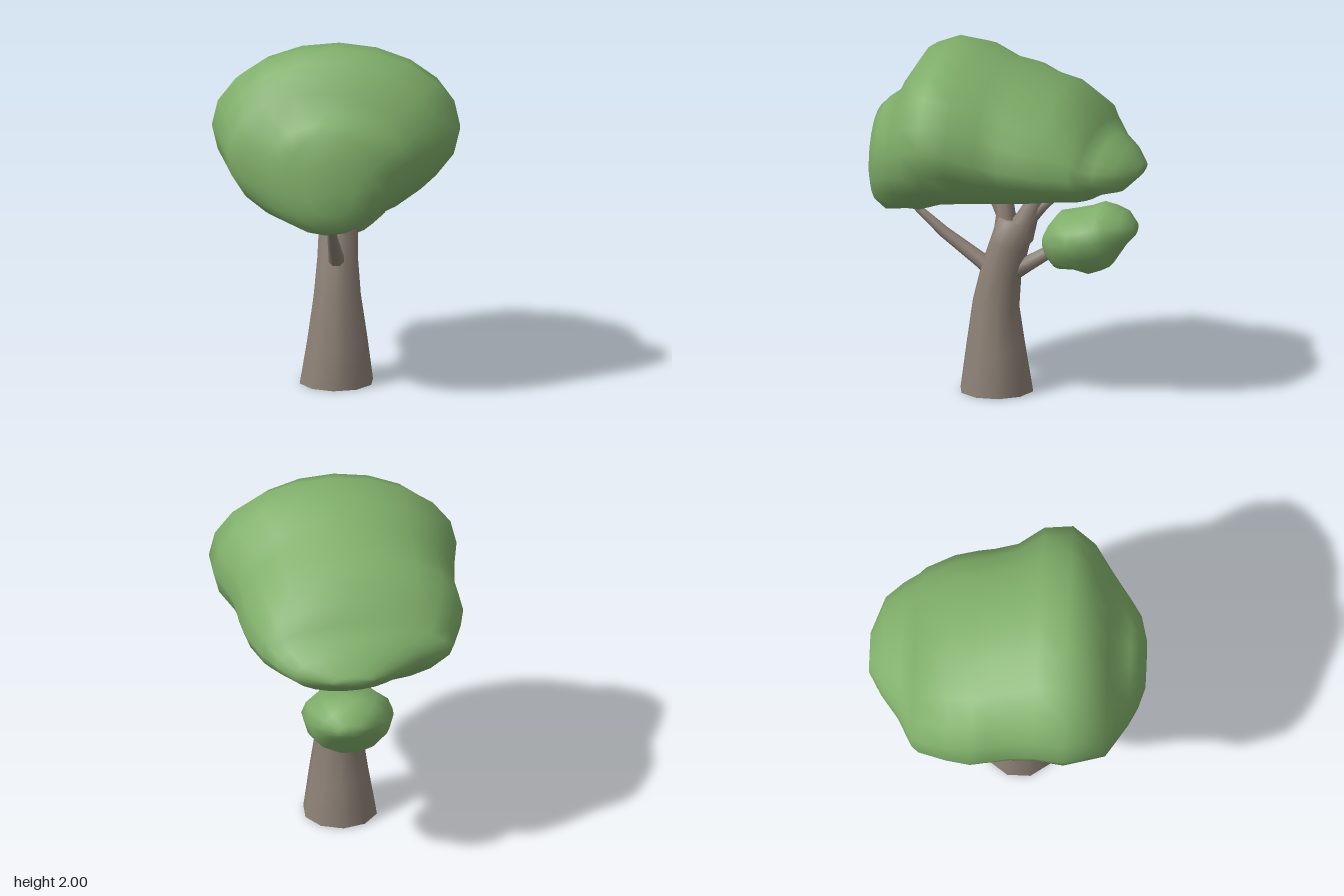
import * as THREE from 'three';

// Skins a list of rings (arrays of Vector3, anticlockwise about the direction of travel)
function skin(rings, capStart, capEnd) {
  const n = rings[0].length, verts = rings.flat(), index = [];
  for (let i = 0; i < rings.length - 1; i++) {
    for (let j = 0; j < n; j++) {
      const k = (j + 1) % n;
      const a = i * n + j, b = i * n + k, c = b + n, d = a + n;
      index.push(a, b, c, a, c, d);
    }
  }
  const cap = (i, flip) => {
    const centre = new THREE.Vector3();
    rings[i].forEach(p => centre.addScaledVector(p, 1 / n));
    const m = verts.push(centre) - 1;
    for (let j = 0; j < n; j++) {
      const a = i * n + j, b = i * n + (j + 1) % n;
      index.push(m, flip ? b : a, flip ? a : b);
    }
  };
  if (capStart) cap(0, true);
  if (capEnd) cap(rings.length - 1, false);
  const geo = new THREE.BufferGeometry().setFromPoints(verts);
  geo.setIndex(index);
  geo.computeVertexNormals();
  return geo;
}

// Leaf mass from upright sections: [z, left x, right x, bottom y, widest y, top y]
function foliage(sections, sides) {
  const rings = sections.map(([z, x0, x1, yb, ym, yt]) => {
    const ring = [];
    for (let j = 0; j < sides; j++) {
      const a = j / sides * Math.PI * 2, s = Math.sin(a);
      ring.push(new THREE.Vector3(
        (x0 + x1) / 2 + (x1 - x0) / 2 * Math.cos(a),
        ym + s * (s > 0 ? yt - ym : ym - yb), z));
    }
    return ring;
  });
  return skin(rings, true, true);
}

// Tapering limb along points [x, y, z, radius]
function limb(points, sides, capEnd = true) {
  const pos = points.map(p => new THREE.Vector3(p[0], p[1], p[2]));
  const side = new THREE.Vector3(1, 0, 0);
  const rings = pos.map((p, i) => {
    const t = pos[Math.min(i + 1, pos.length - 1)].clone().sub(pos[Math.max(i - 1, 0)]);
    const up = t.cross(side).normalize();
    const ring = [];
    for (let j = 0; j < sides; j++) {
      const a = (j + 0.5) / sides * Math.PI * 2, r = points[i][3];
      ring.push(p.clone().addScaledVector(side, r * Math.cos(a)).addScaledVector(up, r * Math.sin(a)));
    }
    return ring;
  });
  return skin(rings, false, capEnd);
}

export function createModel() {
  const tree = new THREE.Group();
  tree.name = 'tree';
  const leaf = new THREE.MeshStandardMaterial({ color: 0x7fae69 });
  leaf.name = 'leaf green';
  const bark = new THREE.MeshStandardMaterial({ color: 0x8c8075, side: THREE.DoubleSide });
  bark.name = 'bark brown';
  const add = (name, geo, mat) => {
    const mesh = new THREE.Mesh(geo, mat);
    mesh.name = name;
    tree.add(mesh);
  };

  // Large crown, back to front
  add('crown', foliage([
    [-0.775, -0.13, 0.10, 1.31, 1.34, 1.37],
    [-0.70, -0.27, 0.31, 1.24, 1.35, 1.46],
    [-0.60, -0.41, 0.40, 1.22, 1.36, 1.51],
    [-0.52, -0.57, 0.45, 1.17, 1.37, 1.56],
    [-0.48, -0.61, 0.48, 1.16, 1.38, 1.67],
    [-0.32, -0.66, 0.545, 1.15, 1.40, 1.79],
    [-0.19, -0.685, 0.57, 1.13, 1.42, 1.82],
    [-0.10, -0.67, 0.575, 1.12, 1.43, 1.88],
    [0.03, -0.655, 0.60, 1.11, 1.46, 1.91],
    [0.17, -0.67, 0.68, 1.11, 1.52, 1.985],
    [0.33, -0.695, 0.69, 1.09, 1.54, 2.0],
    [0.46, -0.64, 0.60, 1.04, 1.50, 1.95],
    [0.56, -0.59, 0.47, 1.025, 1.44, 1.80],
    [0.61, -0.50, 0.41, 1.015, 1.41, 1.70],
    [0.68, -0.37, 0.32, 1.01, 1.36, 1.65],
    [0.73, -0.26, 0.25, 1.05, 1.33, 1.60],
    [0.765, -0.13, 0.13, 1.14, 1.27, 1.44],
  ], 20), leaf);

  // Small leaf cluster at the back
  add('lowerLeafCluster', foliage([
    [-0.735, -0.09, 0.07, 0.95, 0.99, 1.03],
    [-0.68, -0.17, 0.15, 0.89, 0.99, 1.09],
    [-0.60, -0.23, 0.20, 0.77, 0.96, 1.12],
    [-0.55, -0.25, 0.22, 0.745, 0.95, 1.13],
    [-0.48, -0.27, 0.235, 0.72, 0.94, 1.10],
    [-0.40, -0.27, 0.24, 0.74, 0.93, 1.08],
    [-0.30, -0.21, 0.18, 0.735, 0.91, 1.06],
    [-0.24, -0.14, 0.11, 0.79, 0.90, 0.98],
    [-0.215, -0.07, 0.05, 0.84, 0.89, 0.93],
  ], 14), leaf);

  // Trunk, leaning back as it rises, open underneath
  add('trunk', limb([
    [-0.02, 0, 0.065, 0.21], [-0.015, 0.25, 0.068, 0.172], [-0.015, 0.50, 0.068, 0.135],
    [-0.015, 0.70, 0.036, 0.117], [-0.015, 0.85, -0.01, 0.112], [-0.015, 0.99, -0.05, 0.107],
  ], 10), bark);

  // Limbs reaching into the leaves
  const limbs = {
    frontFork: [[-0.015, 0.90, 0.0, 0.085], [-0.015, 1.02, 0.012, 0.055], [-0.015, 1.2, 0.025, 0.04]],
    rearFork: [[-0.015, 0.90, -0.06, 0.09], [-0.015, 1.02, -0.115, 0.062], [-0.015, 1.2, -0.2, 0.035]],
    rearTwig: [[-0.015, 0.98, -0.11, 0.04], [-0.015, 1.09, -0.21, 0.03], [-0.015, 1.2, -0.34, 0.015]],
    frontTwig: [[-0.015, 1.0, 0.02, 0.04], [-0.015, 1.07, 0.06, 0.03], [-0.015, 1.17, 0.12, 0.02]],
    frontBranch: [[-0.015, 0.68, 0.06, 0.06], [-0.015, 0.745, 0.16, 0.043],
      [-0.015, 0.89, 0.37, 0.032], [-0.015, 1.05, 0.56, 0.018]],
    rearBranch: [[-0.015, 0.68, 0.0, 0.065], [-0.015, 0.745, -0.12, 0.045], [-0.015, 0.84, -0.27, 0.035]],
  };
  for (const [name, points] of Object.entries(limbs)) add(name, limb(points, 8), bark);

  return tree;
}
